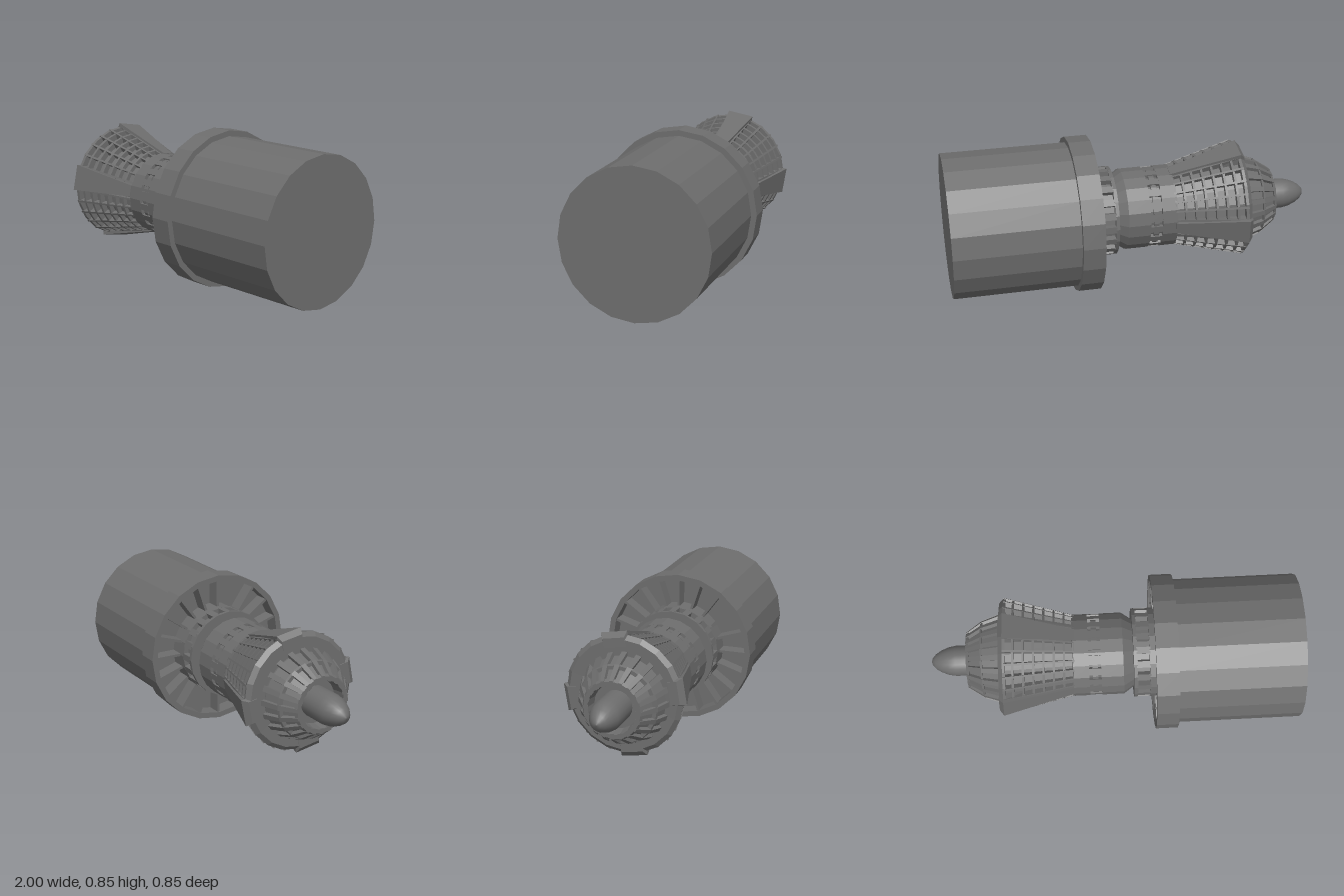
import * as THREE from 'three';

const AXIS_Y = 0.423, SIDES = 20, DEG = Math.PI / 180;
const flat = new THREE.MeshStandardMaterial({ color: 0x6d6d6d, flatShading: true });
const smooth = new THREE.MeshStandardMaterial({ color: 0x6d6d6d });

// Solid of revolution about the x axis; profile is a list of [x, radius].
function turned(name, profile, { start = 0, arc = 360, sides = SIDES, material = flat } = {}) {
  const points = profile.map(([x, r]) => new THREE.Vector2(r, x));
  const geometry = new THREE.LatheGeometry(points, sides, start * DEG, arc * DEG);
  geometry.rotateZ(-Math.PI / 2);
  const mesh = new THREE.Mesh(geometry, material);
  mesh.name = name;
  return mesh;
}

// Tapered bar: from (x0, r0) to (x1, r1) on its outer face, with widths w0, w1 and depths d0, d1.
function bar(x0, r0, w0, d0, x1, r1, w1, d1) {
  const geometry = new THREE.BoxGeometry(1, 1, 1);
  const p = geometry.attributes.position;
  for (let i = 0; i < p.count; i++) {
    const end = p.getX(i) > 0, top = p.getY(i) > 0;
    p.setXYZ(i, end ? x1 : x0,
      (end ? r1 : r0) - (top ? 0 : end ? d1 : d0),
      p.getZ(i) * (end ? w1 : w0));
  }
  geometry.computeVertexNormals();
  return geometry;
}

// Copies of a bar around the axis at the given angles (0 is straight up).
function around(name, geometry, angles) {
  const group = new THREE.Group();
  group.name = name;
  for (const a of angles) {
    const mesh = new THREE.Mesh(geometry, flat);
    mesh.name = name + 'Piece';
    mesh.rotation.x = a * DEG;
    group.add(mesh);
  }
  return group;
}

const spread = (count, offset = 0) =>
  Array.from({ length: count }, (_, i) => offset + (i * 360) / count);

// Flared collar: rim, recessed core, four solid panels and a lattice in each gap.
// Built with its narrow end at x = 0, so that it can be tilted there.
function createCollar() {
  const collar = new THREE.Group();
  collar.name = 'collar';
  const X0 = -0.38, R0 = 0.318, R1 = 0.221, SECTOR = 66, CELLS = 5, RINGS = 7;
  const panels = spread(4, -10);

  collar.add(turned('collarRim', [
    [-0.4, 0.2], [-0.402, 0.295], [X0, R0], [-0.365, 0.314], [-0.365, 0.25],
  ]));
  collar.add(turned('collarCore', [[X0, 0.283], [0, 0.203]]));
  collar.add(around('collarPanels', bar(X0, 0.33, 0.145, 0.06, 0, 0.224, 0.062, 0.03), panels));
  collar.add(around('panelTips', bar(-0.404, 0.302, 0.12, 0.05, X0, 0.33, 0.145, 0.06), panels));

  const ribAngles = panels.flatMap(p =>
    Array.from({ length: CELLS + 1 }, (_, i) => p + 12 + (i * SECTOR) / CELLS));
  collar.add(around('latticeRibs', bar(X0, R0 + 0.002, 0.012, 0.05, 0, R1, 0.009, 0.03), ribAngles));

  const radius = x => R1 + (x / X0) * (R0 - R1);
  for (let i = 1; i <= RINGS; i++) {
    const x = X0 * (1 - i / RINGS), a = x - 0.006, b = x + 0.006;
    const profile = [[a, radius(a) - 0.04], [a, radius(a)], [b, radius(b)], [b, radius(b) - 0.04]];
    for (const p of panels) {
      collar.add(turned('latticeRing', profile, { start: p + 12 - 90, arc: SECTOR, sides: CELLS }));
    }
  }
  return collar;
}

export function createModel() {
  const model = new THREE.Group();
  model.name = 'engine';
  const engine = new THREE.Group();
  engine.name = 'engineAssembly';
  engine.position.y = AXIS_Y;
  model.add(engine);

  // Rounded nose spike in the open mouth of the head
  engine.add(turned('nose', [
    [-1, 0], [-0.993, 0.02], [-0.975, 0.041], [-0.945, 0.06], [-0.905, 0.076],
    [-0.865, 0.083], [-0.8, 0.083], [-0.7, 0.083],
  ], { material: smooth }));

  // Stepped head with a recessed mouth and raised ribs
  engine.add(turned('head', [
    [-0.73, 0], [-0.73, 0.12], [-0.8, 0.13], [-0.8, 0.152], [-0.785, 0.162], [-0.785, 0.145],
    [-0.72, 0.188], [-0.72, 0.208], [-0.708, 0.213], [-0.708, 0.196], [-0.62, 0.226], [-0.6, 0.226],
  ]));
  engine.add(around('headFrontRibs', bar(-0.8, 0.155, 0.02, 0.03, -0.715, 0.212, 0.028, 0.03), spread(SIDES)));
  engine.add(around('headRearRibs', bar(-0.715, 0.212, 0.024, 0.03, -0.615, 0.246, 0.03, 0.03), spread(SIDES)));

  // Collar, tilted slightly up and back
  const collar = createCollar();
  collar.position.x = -0.22;
  collar.rotation.set(0, -0.026, -0.03);
  engine.add(collar);

  // Waist with a studded groove and a bevelled rear end
  engine.add(turned('waist', [
    [-0.23, 0.18], [-0.225, 0.223], [-0.14, 0.223], [-0.14, 0.203], [-0.122, 0.203], [-0.122, 0.216],
    [-0.093, 0.216], [-0.093, 0.203], [-0.075, 0.203], [-0.075, 0.223], [0.045, 0.223], [0.1, 0.185], [0.12, 0.185],
  ]));
  engine.add(around('waistStuds', bar(-0.14, 0.22, 0.036, 0.03, -0.075, 0.22, 0.036, 0.03), spread(SIDES, 9)));

  // Slotted ring in front of the flange
  engine.add(turned('slottedRing', [
    [0.1, 0.17], [0.1, 0.243], [0.12, 0.243], [0.12, 0.215], [0.185, 0.215],
    [0.185, 0.243], [0.31, 0.243],
  ]));
  engine.add(around('slotBars', bar(0.115, 0.242, 0.036, 0.04, 0.19, 0.242, 0.036, 0.04), spread(SIDES)));

  // Flange with a recessed front, and the large rear drum
  engine.add(turned('flangeAndDrum', [
    [0.3, 0.2], [0.3, 0.392], [0.21, 0.392], [0.21, 0.423], [0.33, 0.423],
    [0.33, 0.393], [1, 0.393], [1, 0],
  ]));
  engine.add(around('flangeFins', bar(0.22, 0.392, 0.014, 0.16, 0.305, 0.392, 0.014, 0.16), spread(SIDES)));

  return model;
}
